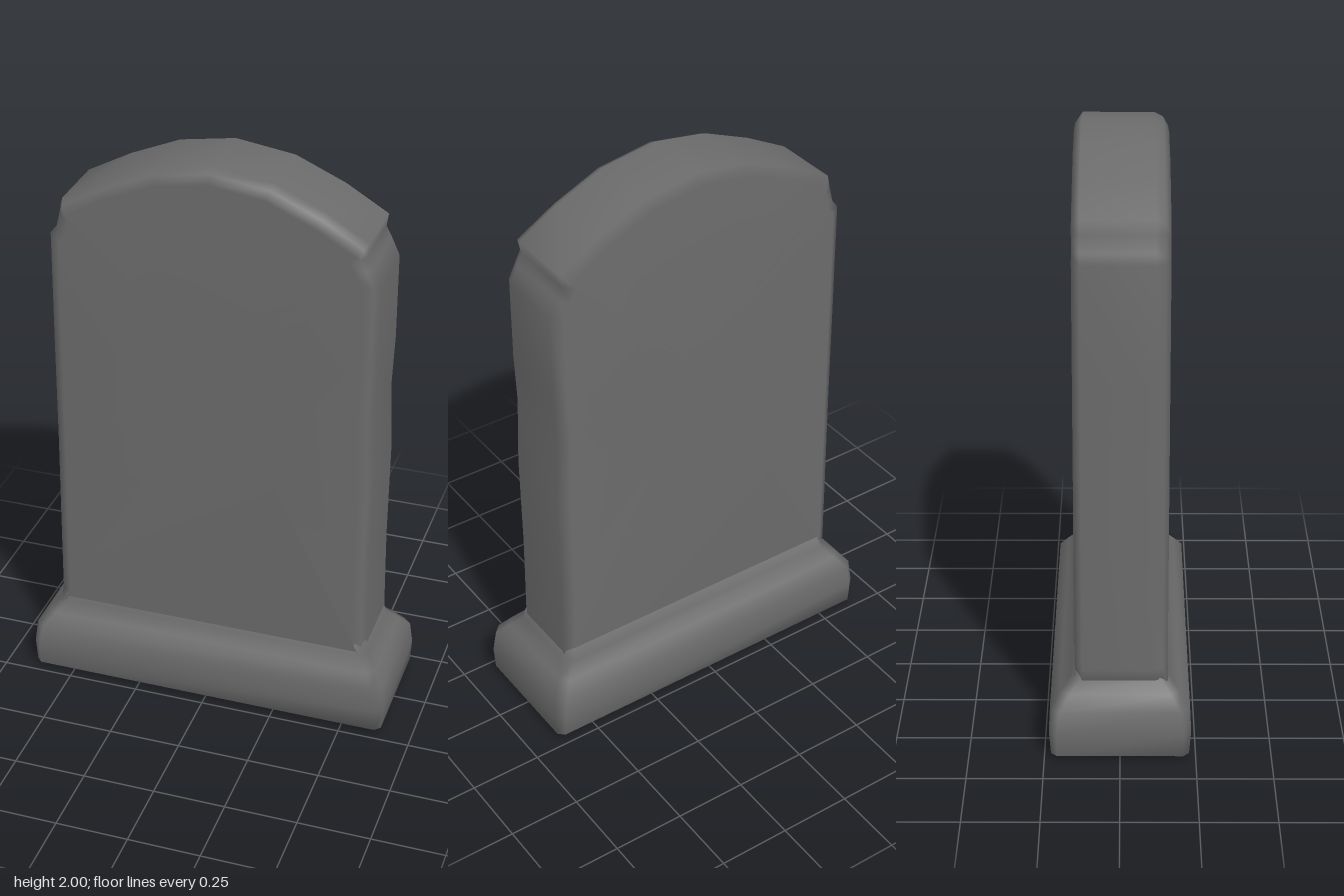
import * as THREE from 'three';

const stone = new THREE.MeshStandardMaterial({ color: 0x6b6b6b });
stone.name = 'grey stone';

// Skin a stack of equal-length loops and close both ends with fans; smooth normals
function loft(name, loops) {
  const n = loops[0].length, pos = [], index = [];
  loops.forEach(loop => loop.forEach(p => pos.push(p.x, p.y, p.z)));
  for (let j = 0; j < loops.length - 1; j++) {
    for (let i = 0; i < n; i++) {
      const a = j * n + i, b = j * n + (i + 1) % n;
      index.push(a, b, b + n, a, b + n, a + n);
    }
  }
  [0, loops.length - 1].forEach(j => {
    const centre = loops[j].reduce((s, p) => s.add(p), new THREE.Vector3()).divideScalar(n);
    const c = pos.length / 3;
    pos.push(centre.x, centre.y, centre.z);
    for (let i = 0; i < n; i++) {
      const a = j * n + i, b = j * n + (i + 1) % n;
      if (j === 0) index.push(c, b, a);
      else index.push(c, a, b);
    }
  });
  const geometry = new THREE.BufferGeometry();
  geometry.setAttribute('position', new THREE.Float32BufferAttribute(pos, 3));
  geometry.setIndex(index);
  geometry.computeVertexNormals();
  const mesh = new THREE.Mesh(geometry, stone);
  mesh.name = name;
  return mesh;
}

// Worn outline of the slab, counter-clockwise from the front
const outline = [
  [-0.57, 0.2], [0.555, 0.2], [0.557, 0.3], [0.553, 0.6], [0.556, 0.95], [0.546, 1.2],
  [0.553, 1.37], [0.553, 1.67], [0.525, 1.73], [0.506, 1.765], [0.512, 1.81], [0.37, 1.895],
  [0.2, 1.97], [0, 2], [-0.19, 1.97], [-0.36, 1.9], [-0.512, 1.82], [-0.522, 1.775],
  [-0.535, 1.72], [-0.558, 1.69], [-0.561, 1.3], [-0.563, 0.9], [-0.568, 0.5], [-0.57, 0.3],
].map(p => new THREE.Vector2(...p));

// Outline moved inward by d, placed at depth z
function slabLoop(z, d) {
  const n = outline.length;
  return outline.map((p, i) => {
    const t = outline[(i + 1) % n].clone().sub(outline[(i + n - 1) % n]).normalize();
    return new THREE.Vector3(p.x - t.y * d, p.y + t.x * d, z);
  });
}

// Rectangle with cut corners at height y
function plinthLoop([y, hx, hz, cut]) {
  return [
    [hx, -hz + cut], [hx, hz - cut], [hx - cut, hz], [-hx + cut, hz],
    [-hx, hz - cut], [-hx, -hz + cut], [-hx + cut, -hz], [hx - cut, -hz],
  ].map(([u, v]) => new THREE.Vector3(u, y, -v));
}

export function createModel() {
  const group = new THREE.Group();
  group.name = 'gravestone';

  // Upright slab: back face, softened rims, front face
  group.add(loft('slab', [
    [-0.15, 0.035], [-0.125, 0], [0.11, 0], [0.14, 0.015], [0.157, 0.045],
  ].map(([z, d]) => slabLoop(z, d))));

  // Plinth: [height, half width, half depth, corner cut], last loop sits inside the slab
  group.add(loft('plinth', [
    [0, 0.61, 0.19, 0.02], [0.018, 0.642, 0.228, 0.02], [0.1, 0.647, 0.234, 0.025],
    [0.18, 0.638, 0.23, 0.03], [0.225, 0.602, 0.196, 0.03], [0.268, 0.565, 0.16, 0.03],
    [0.36, 0.54, 0.14, 0.03],
  ].map(plinthLoop)));

  return group;
}
